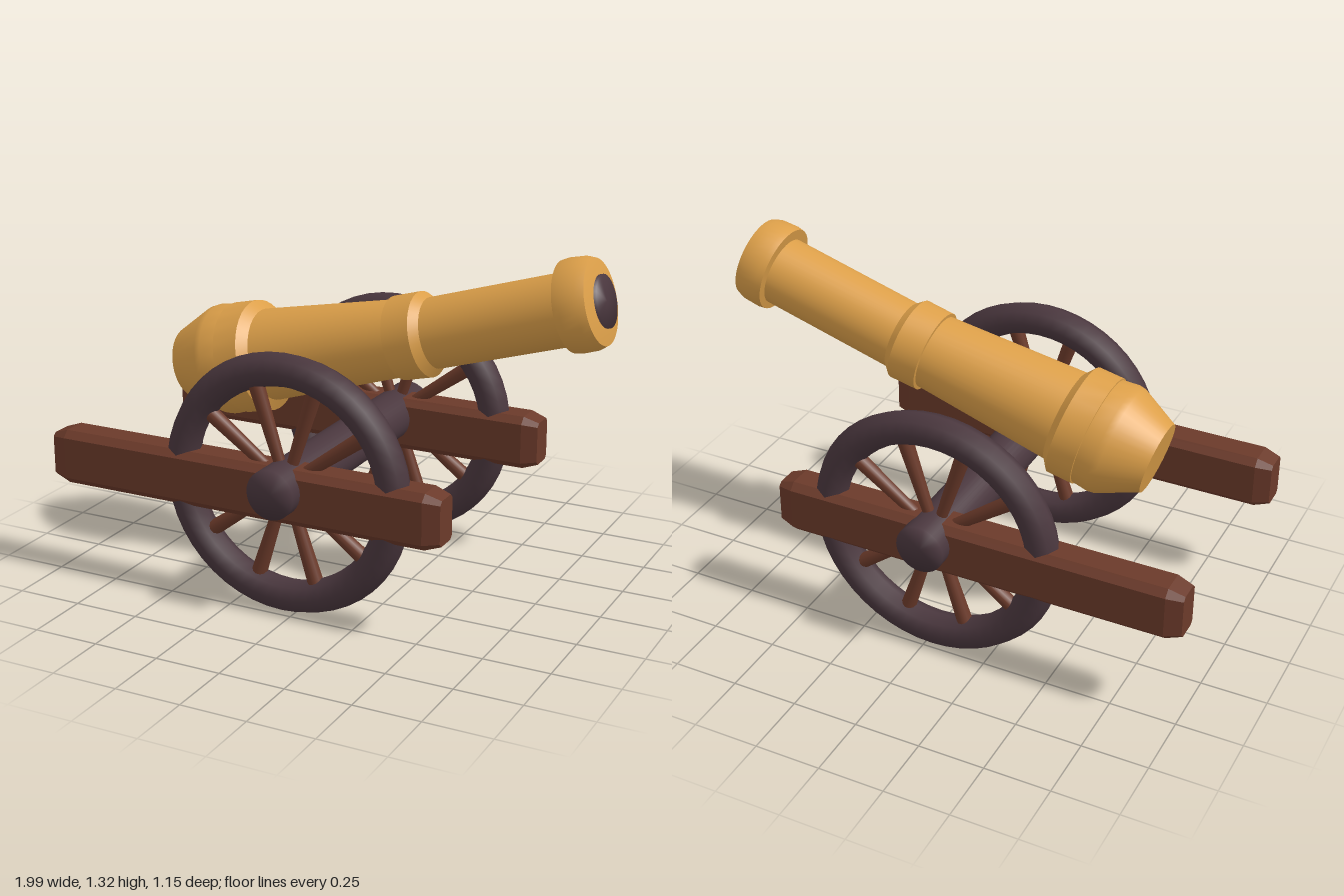
import * as THREE from 'three';
import { toCreasedNormals, mergeVertices } from 'three/addons/utils/BufferGeometryUtils.js';

const material = (name, color) => {
  const m = new THREE.MeshStandardMaterial({ color });
  m.name = name;
  return m;
};

const TILT = THREE.MathUtils.degToRad(15);
const AXLE = new THREE.Vector3(-0.035, 0.492, 0);
const SIDE_Z = 0.453;

export function createModel() {
  const brass = material('brass', 0xdc9f49);
  const wood = material('wood', 0x6b3a2a);
  const iron = material('darkIron', 0x4a373e);

  const model = new THREE.Group();
  model.name = 'fieldCannon';
  const add = (parent, name, geometry, mat) => {
    const mesh = new THREE.Mesh(geometry, mat);
    mesh.name = name;
    parent.add(mesh);
    return mesh;
  };

  // Shared normals give the cylinder ends a soft, rounded shading
  const softCylinder = (r, length) => {
    const g = new THREE.CylinderGeometry(r, r, length, 32);
    g.deleteAttribute('uv');
    g.deleteAttribute('normal');
    const merged = mergeVertices(g);
    merged.computeVertexNormals();
    return merged;
  };

  // Barrel: lathed along local x, tilted up toward the muzzle
  const barrel = new THREE.Group();
  barrel.name = 'barrel';
  barrel.position.set(-0.693, 0.732, 0);
  barrel.rotation.z = TILT;
  model.add(barrel);

  const profile = [
    [0, 0], [0, 0.136], [0.15, 0.208], [0.175, 0.212], [0.235, 0.205], // breech
    [0.236, 0.211], [0.335, 0.211], [0.365, 0.174], // rear band
    [0.915, 0.142], [0.916, 0.155], [1.025, 0.157], [1.055, 0.13], // middle band
    [1.585, 0.13], [1.586, 0.163], [1.61, 0.167], [1.67, 0.164], [1.70, 0.153], // muzzle
    [1.712, 0.09], [1.712, 0],
  ].map(([s, r]) => new THREE.Vector2(r, s));
  let tube = new THREE.LatheGeometry(profile, 40);
  tube.rotateZ(-Math.PI / 2);

  // Slight sag of the barrel's centre line between breech and muzzle
  const sagPoints = [[0, 0], [0.335, -0.014], [1.0, -0.025], [1.585, -0.008], [1.586, 0], [2, 0]];
  const sag = (s) => {
    for (let i = 1; i < sagPoints.length; i++) {
      const [s0, v0] = sagPoints[i - 1], [s1, v1] = sagPoints[i];
      if (s <= s1) return THREE.MathUtils.mapLinear(Math.max(s, s0), s0, s1, v0, v1);
    }
    return 0;
  };
  const p = tube.attributes.position;
  for (let i = 0; i < p.count; i++) p.setY(i, p.getY(i) + sag(p.getX(i)));
  tube = toCreasedNormals(tube, 0.45);
  add(barrel, 'gunBarrel', tube, brass);

  // Dark bore at the muzzle
  const bore = add(barrel, 'bore', softCylinder(0.094, 0.06), iron);
  bore.rotation.z = -Math.PI / 2;
  bore.position.x = 1.692;

  // Axle through both wheels
  const axle = add(model, 'axle', softCylinder(0.093, 1.15), iron);
  axle.rotation.x = Math.PI / 2;
  axle.position.copy(AXLE);

  // Beam: chamfered cross-section extruded with tapered ends
  const hz = 0.051, hy = 0.084, c = 0.014;
  const section = new THREE.Shape([
    [-hz + c, -hy], [hz - c, -hy], [hz, -hy + c], [hz, hy - c],
    [hz - c, hy], [-hz + c, hy], [-hz, hy - c], [-hz, -hy + c],
  ].map(([x, y]) => new THREE.Vector2(x, y)));
  const beamGeometry = new THREE.ExtrudeGeometry(section, {
    depth: 1.465, bevelEnabled: true, bevelSegments: 1, bevelSize: 0.02, bevelThickness: 0.06,
  });
  beamGeometry.translate(0, 0, -1.465 / 2).rotateY(Math.PI / 2);

  const rimGeometry = new THREE.TorusGeometry(0.425, 0.063, 8, 48);
  const spokeGeometry = new THREE.CylinderGeometry(0.03, 0.02, 0.38, 12);
  spokeGeometry.translate(0, 0.22, 0);

  // One wheel and one beam on each side
  for (const side of [1, -1]) {
    const wheel = new THREE.Group();
    wheel.name = side > 0 ? 'frontWheel' : 'backWheel';
    wheel.position.set(AXLE.x, AXLE.y, side * SIDE_Z);
    model.add(wheel);
    add(wheel, 'rim', rimGeometry, iron);
    for (let i = 0; i < 10; i++) {
      const spoke = add(wheel, 'spoke', spokeGeometry, wood);
      spoke.rotation.z = (i * Math.PI) / 5 + Math.PI / 10;
    }
    const beam = add(model, side > 0 ? 'frontBeam' : 'backBeam', beamGeometry, wood);
    beam.position.set(-0.2075, 0.466, side * SIDE_Z);
  }
  return model;
}
